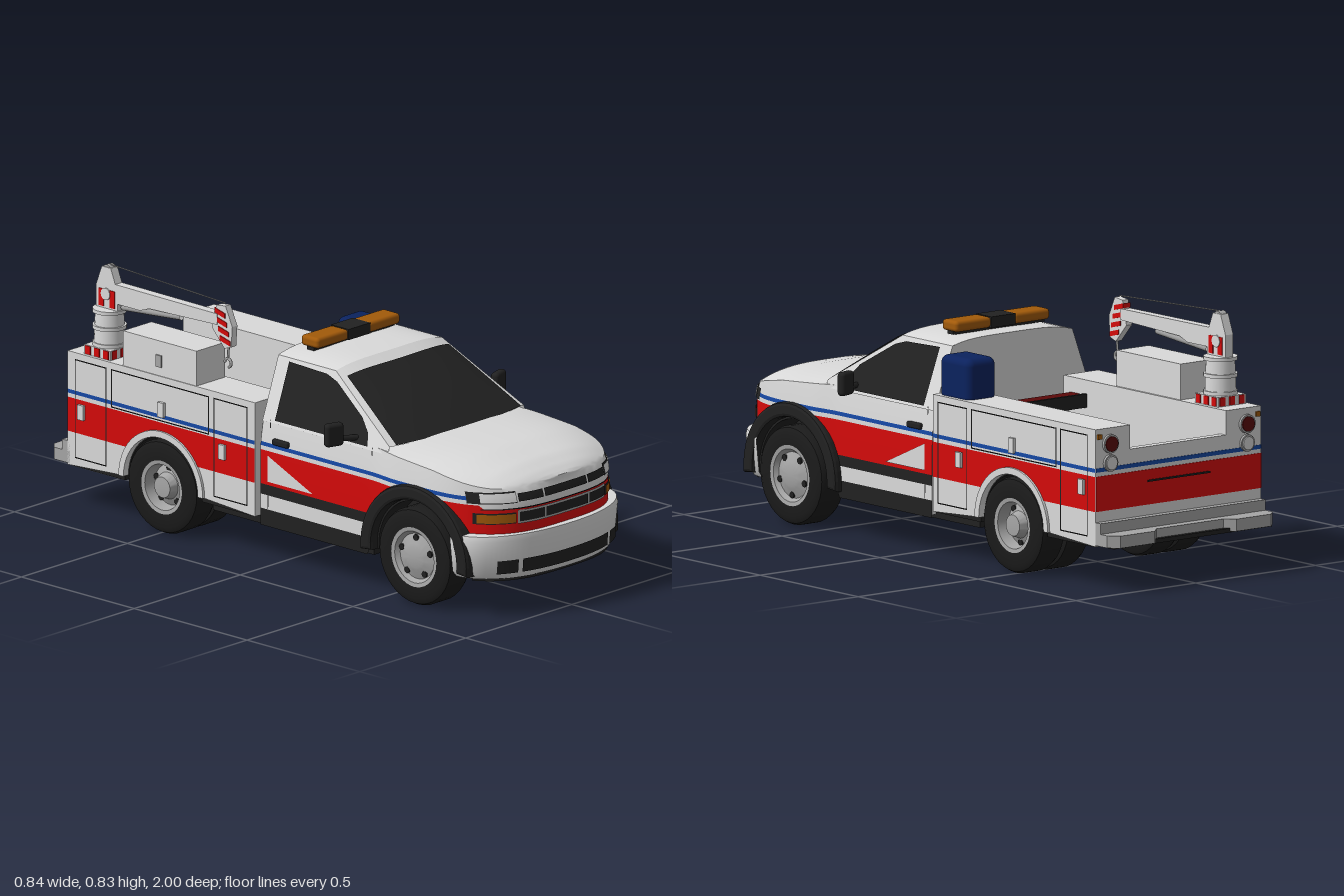
import * as THREE from 'three';
import { toCreasedNormals } from 'three/addons/utils/BufferGeometryUtils.js';
import { RoundedBoxGeometry } from 'three/addons/geometries/RoundedBoxGeometry.js';

const paint = (name, color) => Object.assign(new THREE.MeshStandardMaterial({ color, side: THREE.DoubleSide }), { name });
const { lerp, clamp, smoothstep } = THREE.MathUtils;
const SIDES = [1, -1], PI = Math.PI;

export function createModel() {
  const root = new THREE.Group();
  root.name = 'serviceTruck';
  const white = paint('white paint', 0xdadada), red = paint('red paint', 0xd40a0a), navy = paint('navy', 0x0b225e),
    blue = paint('stripe blue', 0x1648a4), black = paint('black trim', 0x212121), tire = paint('tire rubber', 0x1b1b1b),
    amber = paint('amber', 0xa25a0a), silver = paint('silver', 0xa6a6a6), darkRed = paint('dark red', 0x5a0808);

  const add = (name, geo, mat, x = 0, y = 0, z = 0, parent = root) => {
    const m = new THREE.Mesh(geo, mat);
    m.name = name;
    m.position.set(x, y, z);
    parent.add(m);
    return m;
  };
  const box = (name, mat, x0, x1, y0, y1, z0, z1) =>
    add(name, new THREE.BoxGeometry(x1 - x0, y1 - y0, z1 - z0), mat, (x0 + x1) / 2, (y0 + y1) / 2, (z0 + z1) / 2);
  const cyl = (name, mat, r0, r1, h, x, y, z) => add(name, new THREE.CylinderGeometry(r0, r1, h, 24), mat, x, y, z);
  const rod = (name, mat, r, a, b) =>
    add(name, new THREE.TubeGeometry(new THREE.LineCurve3(new THREE.Vector3(...a), new THREE.Vector3(...b)), 1, r, 8), mat);
  // Surface from a grid of points; slot(i, j) picks the material of each cell
  const grid = (name, mats, nu, nv, fn, slot = () => 0) => {
    const pos = [], idx = [], geo = new THREE.BufferGeometry();
    for (let j = 0; j <= nv; j++) for (let i = 0; i <= nu; i++) pos.push(...fn(i, j));
    for (let j = 0; j < nv; j++) for (let i = 0; i < nu; i++) {
      const a = j * (nu + 1) + i, b = a + nu + 1;
      geo.addGroup(idx.length, 6, slot(i, j));
      idx.push(a, a + 1, b, a + 1, b + 1, b);
    }
    geo.setAttribute('position', new THREE.Float32BufferAttribute(pos, 3)).setIndex(idx);
    if (!Array.isArray(mats)) geo.clearGroups();
    return add(name, toCreasedNormals(geo, 0.6), mats);
  };
  const shapeOf = pts => new THREE.Shape(pts.map(p => new THREE.Vector2(...p)));
  const rect = (a, b, c, d) => [[a, c], [b, c], [b, d], [a, d]];
  const arc = (cz, cy, r, a0, a1, n = 24) =>
    Array.from({ length: n + 1 }, (_, i) => [cz + r * Math.cos(lerp(a0, a1, i / n)), cy + r * Math.sin(lerp(a0, a1, i / n))]);
  const ring = (cz, cy, r0, r1, e) => [...arc(cz, cy, r1, -e, PI + e), ...arc(cz, cy, r0, PI + e, -e)];
  // Thin painted shape in (z, y), laid on the surface x = fx(y) of both sides
  const sidePlate = (name, mat, pts, fx, hole) => SIDES.forEach(s => {
    const sh = shapeOf(pts);
    if (hole) sh.holes.push(shapeOf(hole));
    const geo = new THREE.ShapeGeometry(sh), p = geo.attributes.position;
    for (let i = 0; i < p.count; i++) p.setXYZ(i, s * fx(p.getY(i)), p.getY(i), p.getX(i));
    geo.computeVertexNormals();
    add(name, geo, mat);
  });
  // Solid shape in (z, y) spanning x0..x1, and the same on both sides
  const sideSolid = (name, mat, pts, x0, x1, bevel = 0) => add(name, new THREE.ExtrudeGeometry(shapeOf(pts), {
    depth: x1 - x0 - 2 * bevel, bevelEnabled: bevel > 0, bevelSize: bevel, bevelThickness: bevel, bevelOffset: -bevel, bevelSegments: 2,
  }).rotateY(-PI / 2), mat, x1 - bevel);
  const bothSolid = (name, mat, pts, x0, x1, bevel) => {
    sideSolid(name, mat, pts, x0, x1, bevel);
    sideSolid(name, mat, pts, -x1, -x0, bevel);
  };
  const at = (table, z) => {
    const i = Math.max(1, table.findIndex(p => z <= p[0] + 1e-6)), [a, b] = [table[i - 1], table[i]];
    return lerp(a[1], b[1], clamp((z - a[0]) / (b[0] - a[0]), 0, 1));
  };

  // Cab body: walls follow the plan outline, bonnet closes to the centre line
  const N = 3, wallX = y => 0.335 * (1 - 3 * Math.max(0, y - 0.36) ** 2);
  const lean = (y, z) => 4 * Math.max(0, y - 0.36) ** 2 * clamp((z - 0.8) / 0.17, 0, 1);
  const outline = Array.from({ length: 57 }, (_, i) => {
    const t = Math.max(0, i - 26) / 30, a = t * t * (3 - 2 * t) * PI / 2, z = lerp(-0.065, 0.62, i / 26);
    return i < 26 ? [1 + 0.035 * smoothstep(z, 0.42, 0.55), z]
      : [1.035 * Math.max(0, Math.cos(a)) ** (2 / N), 0.62 + 0.355 * Math.sin(a) ** (2 / N)];
  });
  const edgeY = [[0.42, 0.485], [0.7, 0.465], [0.9, 0.43], [1, 0.42]];
  const crownY = [[0.42, 0.485], [0.5, 0.504], [0.75, 0.492], [0.88, 0.474], [0.94, 0.453], [1, 0.42]];
  const bands = [0.12, 0.177, 0.225, 0.26, 0.375, 0.389, 0.402];
  const archY = z => Math.abs(z - 0.635) < 0.2 ? 0.165 + Math.sqrt(0.04 - (z - 0.635) ** 2) : 0;
  SIDES.forEach(s => grid('cabBody', [white, red, blue, black], 56, 17, (i, j) => {
    const [k, z] = outline[i], top = at(edgeY, z);
    if (j <= 7) {
      const band = j === 4 && z > 0.87 ? 0.36 : bands[j], y = Math.max(j < 7 ? band : top, archY(z));
      return [s * k * wallX(y), y, z - lean(y, z)];
    }
    const q = 1 - (j - 7) / 10;
    return [s * k * wallX(top) * q, lerp(top, at(crownY, z), 1 - q ** 3), z - lean(top, z)];
  }, (i, j) => j === 3 ? 1 : j === 5 && outline[i][1] < 0.88 ? 2 : j === 0 || j === 2 ? 3 : 0));

  // Upper cab: sides, windscreen, roof and back wall
  const sideX = y => 0.318 - 0.3676 * (y - 0.49);
  sidePlate('cabSide', white, [[-0.065, 0.47], [0.49, 0.47], [0.49, 0.495], [0.19, 0.675], [-0.065, 0.675]], sideX);
  sidePlate('sideWindow', black, [[-0.01, 0.48], [0.4, 0.48], [0.39, 0.52], [0.35, 0.562], [0.21, 0.645], [0.16, 0.66], [-0.01, 0.665]],
    y => sideX(y) + 0.004);
  const roofY = q => 0.675 + 0.018 * (1 - q * q);
  const screen = (u, v, d) => {
    const w = 2 * u - 1, q = w * w;
    return [w * sideX(lerp(0.495, 0.675, v)), lerp(0.495, roofY(q), v) + d,
      lerp(0.525 - 0.035 * q, 0.2 - 0.01 * q, v) + 0.015 * Math.sin(PI * v) * (1 - q) + d];
  };
  grid('windscreenFrame', white, 20, 8, (i, j) => screen(i / 20, j / 8, 0));
  grid('windscreen', black, 20, 8, (i, j) => screen(lerp(0.035, 0.965, i / 20), lerp(0, 0.89, j / 8), 0.004));
  grid('roof', white, 20, 8, (i, j) => {
    const w = i / 10 - 1, q = w * w;
    return [w * 0.25, roofY(q) + 0.004 * Math.sin(PI * j / 8) * (1 - q), lerp(-0.065, 0.2 - 0.01 * q, j / 8)];
  });
  grid('cabBack', white, 16, 12, (i, j) => {
    const w = i / 8 - 1, y = lerp(0.13, roofY(w * w), j / 12);
    return [w * (y < 0.485 ? wallX(y) : sideX(Math.min(y, 0.675))), y, -0.065];
  });

  // Doors, mirrors and fender flares
  const door = y => wallX(y) + 0.003;
  sidePlate('doorSlash', white, [[0.17, 0.272], [-0.03, 0.272], [-0.03, 0.36]], door);
  for (const z of [0.42, -0.03]) sidePlate('doorSeam', black, rect(z - 0.002, z + 0.002, 0.18, 0.48), door);
  SIDES.forEach(s => {
    add('doorHandle', new RoundedBoxGeometry(0.02, 0.02, 0.07, 2, 0.006), black, s * 0.333, 0.412, 0.025);
    add('mirror', new RoundedBoxGeometry(0.066, 0.078, 0.03, 3, 0.012), black, s * 0.389, 0.516, 0.31).rotation.y = s * 0.3;
    rod('mirrorArm', black, 0.01, [s * 0.305, 0.497, 0.35], [s * 0.37, 0.5, 0.315]);
  });
  bothSolid('fenderFlare', black, ring(0.635, 0.165, 0.188, 0.238, 0.1), 0.27, 0.362, 0.012);
  bothSolid('frontWheelWell', black, ring(0.635, 0.165, 0.18, 0.187, 0.1), 0.23, 0.33);

  // Grille and lamps laid on the nose
  const nosePlate = (name, mat, x0, x1, y0, y1, d) => grid(name, mat, 12, 3, (i, j) => {
    const x = lerp(x0, x1, i / 12), y = lerp(y0, y1, j / 3), k = Math.abs(x) / (1.035 * wallX(y));
    const z = 0.62 + 0.355 * (1 - Math.min(1, k) ** N) ** (1 / N);
    return [x, y, z - lean(y, z) + d];
  });
  nosePlate('lowerGrilleFrame', silver, -0.205, 0.205, 0.31, 0.356, 0.005);
  for (const [a, b] of [[-0.2, -0.105], [-0.098, 0.098], [0.105, 0.2]]) {
    nosePlate('upperGrille', black, a, b, 0.384, 0.41, 0.006);
    nosePlate('lowerGrille', black, a, b, 0.318, 0.35, 0.008);
  }
  nosePlate('grilleGap', black, -0.3, 0.3, 0.36, 0.364, 0.006);
  SIDES.forEach(s => {
    nosePlate('headlampSurround', black, s * 0.204, s * 0.32, 0.38, 0.418, 0.004);
    nosePlate('headlamp', white, s * 0.207, s * 0.3, 0.384, 0.414, 0.008);
    nosePlate('turnLampSurround', black, s * 0.209, s * 0.312, 0.312, 0.349, 0.004);
    nosePlate('turnLamp', amber, s * 0.212, s * 0.307, 0.316, 0.345, 0.008);
  });

  // Front bumper, closed beneath
  const bumperRows = [[0.13, 0], [0.13, 0.92], [0.15, 0.965], [0.26, 1], [0.278, 0.985], [0.28, 0.8]], B = 2.2;
  grid('frontBumper', [white, black], 48, 5, (i, j) => {
    const a = PI * i / 48, c = Math.cos(a), [y, k] = bumperRows[j];
    return [0.362 * k * Math.sign(c) * Math.abs(c) ** (2 / B), y, 0.8 + 0.2 * k * Math.max(0, Math.sin(a)) ** (2 / B)];
  }, (i, j) => j ? 0 : 1);
  for (const [a, b] of [[-0.2, 0.2], [0.215, 0.28], [-0.28, -0.215]]) grid('bumperOpening', black, 12, 2, (i, j) => {
    const x = lerp(a, b, i / 12), y = lerp(0.15, 0.195, j / 2), k = lerp(0.965, 1, (y - 0.15) / 0.11);
    return [x, y, 0.8 + 0.2 * k * (1 - (Math.abs(x) / (0.362 * k)) ** B) ** (1 / B) + 0.005];
  });

  // Underbody
  for (const b of [[-0.32, 0.32, 0.118, 0.175, -0.29, 0.425], [-0.24, 0.24, 0.13, 0.38, 0.42, 0.83], [-0.14, 0.14, 0.14, 0.3, -0.9, -0.28],
    [-0.34, 0.34, 0.143, 0.18, -0.9, -0.66], [-0.33, 0.33, 0.146, 0.16, -0.985, -0.89], [-0.34, 0.34, 0.143, 0.18, -0.32, -0.085]])
    box('underbody', black, ...b);
  for (const z of [0.635, -0.49]) cyl('axle', black, 0.025, 0.025, 0.6, 0, 0.155, z).rotation.z = PI / 2;
  add('differential', new THREE.SphereGeometry(0.055, 16, 12), black, 0, 0.155, -0.49);

  // Wheels, doubled at the rear
  const wheel = (s, x, w, z, r, rim, dish) => {
    const g = new THREE.Group();
    g.name = 'wheel';
    const lathe = (name, mat, pts) =>
      add(name, toCreasedNormals(new THREE.LatheGeometry(pts.map(p => new THREE.Vector2(...p)), 36), 0.6), mat, 0, 0, 0, g);
    lathe('tire', tire, [[0.05, -w / 2], [r * 0.85, -w / 2], [r * 0.96, -w * 0.42], [r, -w * 0.3], [r, w * 0.3], [r * 0.96, w * 0.42],
      [r * 0.85, w / 2], [rim, w * 0.46], [rim, 0]]);
    lathe('rim', silver, [[rim + 0.005, w * 0.47], [rim - 0.008, w * 0.45], [rim * 0.8, w / 2 - dish], [0.045, w / 2 - dish + 0.012],
      [0.035, w / 2 - 0.005], [0, w / 2 - 0.002]]);
    for (const [a, b] of arc(0, 0, rim * 0.68, 0, PI * 1.6, 4))
      add('rimHole', new THREE.CylinderGeometry(0.011, 0.011, 0.006, 10), black, a, w / 2 - dish + 0.006, b, g);
    g.rotation.z = -s * PI / 2;
    g.position.set(s * x, r, z);
    root.add(g);
  };
  SIDES.forEach(s => {
    wheel(s, 0.305, 0.11, 0.635, 0.163, 0.095, 0.02);
    for (const x of [0.3, 0.195]) wheel(s, x, 0.104, -0.49, 0.157, 0.085, 0.045);
  });

  // Service body lockers with painted bands
  const flat = d => () => 0.345 + d, a0 = Math.asin(0.1 / 0.187);
  bothSolid('sideLocker', white, [[-0.91, 0.145], [-0.91, 0.53], [-0.08, 0.53], [-0.08, 0.145], ...arc(-0.49, 0.16, 0.167, 0, PI)], 0.2, 0.345);
  sidePlate('redBand', red, [[-0.08, 0.26], [-0.08, 0.375], [-0.91, 0.375], [-0.91, 0.26], ...arc(-0.49, 0.16, 0.187, PI - a0, a0)], flat(0.002));
  sidePlate('blueBand', blue, rect(-0.91, -0.08, 0.389, 0.402), flat(0.002));
  bothSolid('archLip', white, ring(-0.49, 0.16, 0.165, 0.187, 0), 0.33, 0.354);
  bothSolid('rearWheelWell', black, ring(-0.49, 0.16, 0.161, 0.167, 0), 0.14, 0.33);
  for (const [z0, z1, y0] of [[-0.26, -0.11, 0.175], [-0.715, -0.28, 0.38], [-0.875, -0.735, 0.175]])
    sidePlate('lockerSeam', black, rect(z0, z1, y0, 0.51), flat(0.004), rect(z0 + 0.004, z1 - 0.004, y0 + 0.004, 0.506));
  for (const [z, y] of [[-0.22, 0.335], [-0.49, 0.42], [-0.845, 0.335]])
    SIDES.forEach(s => box('lockerLatch', white, s * 0.35 - 0.006, s * 0.35 + 0.006, y - 0.025, y + 0.025, z - 0.013, z + 0.013));

  // Load bed, headboard, tailgate and rear step
  box('bedFloor', black, -0.2, 0.2, 0.29, 0.32, -0.9, -0.08);
  box('headboard', white, -0.2, 0.2, 0.145, 0.47, -0.11, -0.08);
  box('headboardRack', darkRed, -0.2, 0.2, 0.44, 0.48, -0.185, -0.12);
  box('rackRail', black, -0.2, 0.2, 0.44, 0.485, -0.2, -0.188);
  box('tailgate', white, -0.2, 0.2, 0.16, 0.45, -0.909, -0.88);
  box('rearRedBand', red, -0.345, 0.345, 0.26, 0.375, -0.912, -0.909);
  box('rearBlueBand', blue, -0.345, 0.345, 0.389, 0.402, -0.912, -0.909);
  box('tailgateHandle', black, -0.13, 0.13, 0.335, 0.341, -0.916, -0.912);
  SIDES.forEach(s => {
    for (const [y, r, mat] of [[0.478, 0.025, darkRed], [0.415, 0.022, white]]) {
      cyl('lampRing', silver, r + 0.006, r + 0.006, 0.01, s * 0.285, y, -0.914).rotation.x = PI / 2;
      cyl('tailLamp', mat, r, r, 0.016, s * 0.285, y, -0.915).rotation.x = PI / 2;
    }
    box('markerLamp', amber, s * 0.33 - 0.008, s * 0.33 + 0.008, 0.497, 0.513, -0.917, -0.909);
  });
  const step = [[-0.345, 0.9], [0.345, 0.9], [0.345, 0.97], [0.315, 1], [0.17, 1], [0.14, 0.97], [-0.14, 0.97], [-0.17, 1], [-0.315, 1], [-0.345, 0.97]];
  add('rearStep', new THREE.ExtrudeGeometry(shapeOf(step), { depth: 0.04, bevelEnabled: false }).rotateX(-PI / 2), silver, 0, 0.15, 0);
  box('stepRiser', silver, -0.345, 0.345, 0.15, 0.225, -0.935, -0.9);

  // Roof light bar, bin and toolbox
  box('lightBarMount', black, -0.19, 0.19, 0.695, 0.708, 0.005, 0.035);
  for (const s of SIDES) add('beacon', new RoundedBoxGeometry(0.148, 0.036, 0.078, 3, 0.012), amber, s * 0.122, 0.723, 0.02);
  box('beaconCentre', black, -0.051, 0.051, 0.705, 0.741, -0.019, 0.059);
  add('bin', new RoundedBoxGeometry(0.12, 0.15, 0.155, 4, 0.025), navy, 0.27, 0.587, -0.168);
  box('toolbox', white, -0.342, -0.208, 0.53, 0.648, -0.668, -0.342);
  box('toolboxLatch', silver, -0.347, -0.338, 0.56, 0.6, -0.52, -0.495);

  // Crane column and head
  const X = -0.275, Z = -0.79;
  box('craneBase', white, X - 0.058, X + 0.058, 0.53, 0.562, Z - 0.058, Z + 0.058);
  for (const d of [-0.04, 0, 0.04]) {
    box('baseStripe', red, X - 0.061, X + 0.061, 0.532, 0.56, Z + d - 0.011, Z + d + 0.011);
    box('baseStripe', red, X + d - 0.011, X + d + 0.011, 0.532, 0.56, Z - 0.061, Z + 0.061);
  }
  cyl('craneColumn', white, 0.047, 0.052, 0.12, X, 0.62, Z);
  for (const y of [0.568, 0.625, 0.68]) cyl('craneCollar', white, 0.056, 0.056, 0.012, X, y, Z);
  sideSolid('craneHead', white, [[Z - 0.045, 0.685], [Z + 0.05, 0.685], [Z + 0.05, 0.75], [Z + 0.02, 0.825], [Z - 0.02, 0.825], [Z - 0.045, 0.76]], X - 0.016, X + 0.016);
  for (const z of [Z - 0.02, Z + 0.028]) box('headStripe', red, X - 0.019, X + 0.019, 0.692, 0.75, z - 0.011, z + 0.011);
  cyl('headPivot', white, 0.02, 0.02, 0.042, X, 0.735, Z).rotation.z = PI / 2;
  cyl('cablePulley', silver, 0.02, 0.02, 0.026, X, 0.813, Z).rotation.z = PI / 2;

  // Boom, striped tip, cable and hook
  sideSolid('boom', white, [[-0.76, 0.71], [-0.64, 0.71], [-0.6, 0.725], [-0.3, 0.735], [-0.3, 0.772], [-0.76, 0.775]], X - 0.016, X + 0.016);
  rod('boomRam', silver, 0.012, [X, 0.7, -0.73], [X, 0.722, -0.47]);
  sideSolid('boomTip', white, [[-0.325, 0.72], [-0.27, 0.66], [-0.24, 0.67], [-0.235, 0.74], [-0.265, 0.805], [-0.305, 0.8]], X - 0.012, X + 0.012);
  for (let i = 0; i < 4; i++) {
    const y = 0.685 + i * 0.03, z = -0.262 - i * 0.008;
    sideSolid('tipStripe', red, [[z - 0.026, y], [z + 0.02, y - 0.012], [z + 0.02, y + 0.004], [z - 0.026, y + 0.016]], X - 0.015, X + 0.015);
  }
  rod('hoistCable', silver, 0.002, [X, 0.81, -0.275], [X, 0.832, Z]);
  rod('hookCable', silver, 0.004, [X, 0.67, -0.262], [X, 0.625, -0.265]);
  add('hook', new THREE.TorusGeometry(0.014, 0.005, 8, 16, 4.5), silver, X, 0.61, -0.265).rotation.y = PI / 2;
  return root;
}
